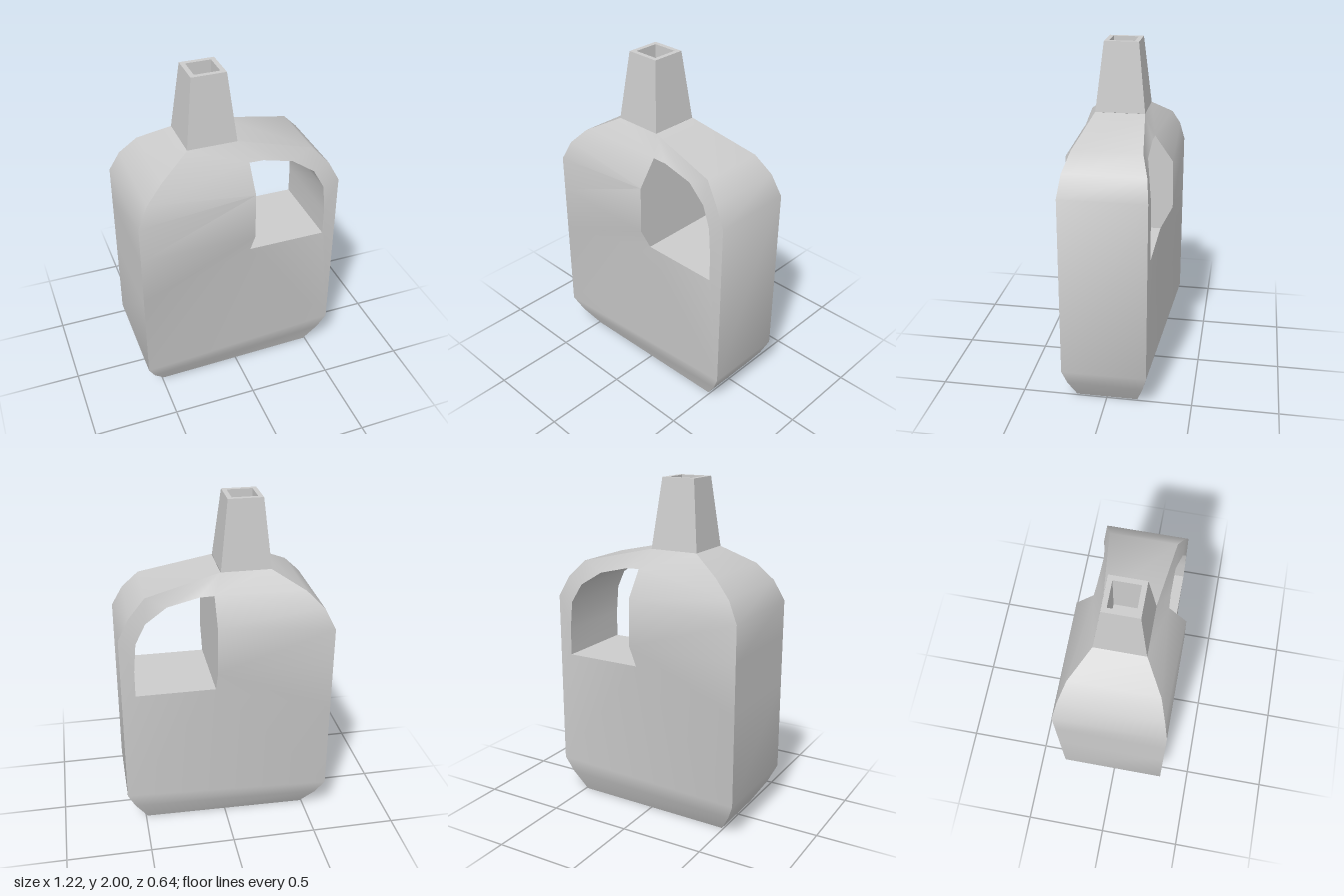
import * as THREE from 'three';
import { toCreasedNormals } from 'three/addons/utils/BufferGeometryUtils.js';

// Corner points of the front half [x, y, z]; the back mirrors z.
const P = {
  // foot bevel
  a0: [-0.49, 0, 0.2], b0: [0.49, 0, 0.18],
  a1: [-0.565, 0.12, 0.275], b1: [0.565, 0.12, 0.22],
  a2: [-0.61, 0.22, 0.32], b2: [0.61, 0.22, 0.245],
  // broad side
  a3: [-0.61, 0.76, 0.32], a4: [-0.61, 1.06, 0.32], a5: [-0.61, 1.28, 0.32],
  b3: [0.61, 1.28, 0.245],
  // shoulders
  a6: [-0.55, 1.4, 0.295], a7: [-0.45, 1.5, 0.255], a8: [-0.27, 1.6, 0.145],
  b4: [0.545, 1.4, 0.23], b5: [0.45, 1.5, 0.195], b6: [0.02, 1.6, 0.145],
  // grip opening
  h0: [0.065, 0.92, 0.25], h1: [0.065, 1.06, 0.32], h2: [0.065, 1.34, 0.315],
  h3: [0.065, 1.49, 0.21], h4: [0.15, 1.485, 0.205], h5: [0.33, 1.44, 0.205],
  h6: [0.455, 1.36, 0.23], h7: [0.515, 1.25, 0.248], h8: [0.53, 1.08, 0.25],
  h9: [0.53, 0.92, 0.25],
};

// Faces of the front, counter-clockwise
const FACES = [
  'a0 b0 b1 a1', 'a1 b1 b2 a2',
  'a2 b2 h0', 'b2 h9 h0', 'a2 h0 a3',
  'a3 h0 h1', 'a3 h1 a4', 'a4 h1 h2 a5',
  'a5 h2 a6', 'a6 h2 h3', 'a6 h3 a7', 'a7 h3 a8', 'a8 h3 b6',
  'b6 h3 h4', 'b6 h4 h5', 'b6 h5 b5', 'b5 h5 h6', 'b5 h6 b4',
  'b4 h6 h7', 'b4 h7 b3', 'b3 h7 h8', 'b3 h8 b2', 'b2 h8 h9',
];
// Rim from the neck down the left, under and up the handle
const OUTLINE = 'a8 a7 a6 a5 a4 a3 a2 a1 a0 b0 b1 b2 b3 b4 b5 b6';
// Opening, clockwise so that its walls face inward
const OPENING = 'h0 h1 h2 h3 h4 h5 h6 h7 h8 h9 h0';

function bodyGeometry() {
  const pos = [];
  const back = ([x, y, z]) => [x, y, -z];
  const polygon = (pts) => {
    for (let i = 1; i < pts.length - 1; i++) pos.push(...pts[0], ...pts[i], ...pts[i + 1]);
  };
  const points = (names) => names.split(' ').map((n) => P[n]);

  // broad sides, front and mirrored back
  for (const face of FACES) {
    const pts = points(face);
    polygon(pts);
    polygon(pts.map(back).reverse());
  }
  // walls joining front and back
  for (const loop of [OUTLINE, OPENING]) {
    const pts = points(loop);
    for (let i = 0; i < pts.length - 1; i++) {
      const a = pts[i], b = pts[i + 1];
      polygon([a, back(a), back(b), b]);
    }
  }
  const g = new THREE.BufferGeometry();
  g.setAttribute('position', new THREE.Float32BufferAttribute(pos, 3));
  return toCreasedNormals(g, 0.6);
}

// Square neck: outer wall, lip, inner wall and floor of the mouth
function neckGeometry() {
  const profile = [[0.145, 1.6], [0.1, 2], [0.073, 2], [0.073, 1.7], [0, 1.7]]
    .map(([half, y]) => new THREE.Vector2(half * Math.SQRT2, y));
  return toCreasedNormals(new THREE.LatheGeometry(profile, 4, Math.PI / 4), 0.1);
}

export function createModel() {
  const group = new THREE.Group();
  group.name = 'jug';
  const material = new THREE.MeshStandardMaterial({ color: 0xcccccc, side: THREE.DoubleSide });

  const body = new THREE.Mesh(bodyGeometry(), material);
  body.name = 'bodyWithHandle';

  const neck = new THREE.Mesh(neckGeometry(), material);
  neck.name = 'neck';
  neck.position.x = -0.127;

  group.add(body, neck);
  return group;
}
